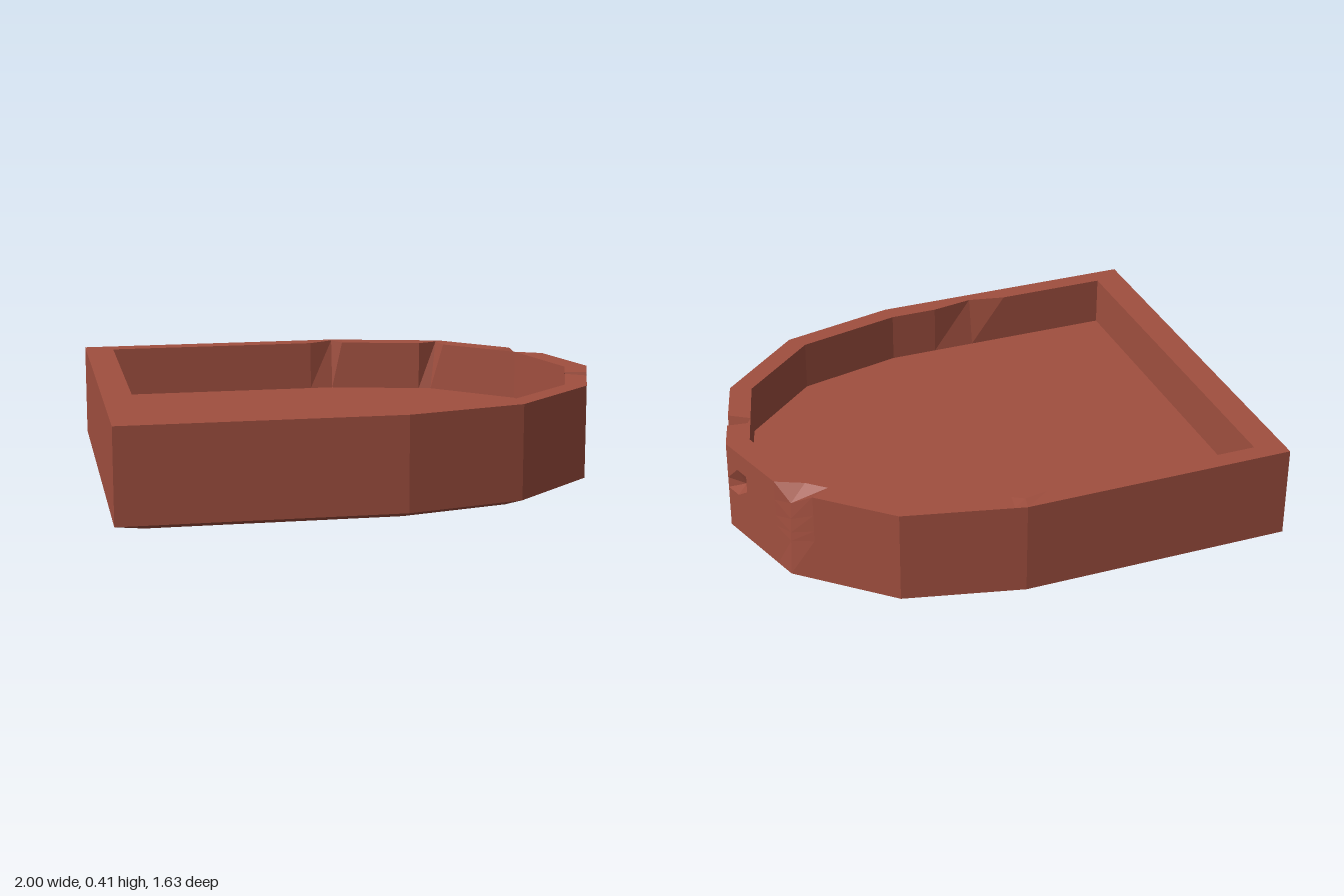
import * as THREE from 'three';

// Half outline, front to tip: outer x, outer z, inner x, inner z
const half = [
  [-1, 0.815, -0.885, 0.74],
  [0.08, 0.815, 0.07, 0.74],
  [0.54, 0.705, 0.49, 0.64],
  [0.875, 0.405, 0.795, 0.37],
];
const mirrored = half.map(([a, b, c, d]) => [a, -b, c, -d]).reverse();
const corners = [...half, [1, 0, 0.905, 0], ...mirrored];

const HEIGHT = 0.4, BEVEL = 0.03, FLOOR = 0.2;

// Extra stations along the outline (corner index + fraction), with displaced points for chips
const chips = {
  0.466: {}, 0.62: { rim: [-0.29, HEIGHT, 0.77] }, 0.8: {},      // front inner edge
  3.5: {}, 3.59: { top: [0.925, 0.28, 0.17] }, 3.68: {},         // notch in the curved rim
  4.17: { dent: [0.945, 0.25, -0.07] }, 4.32: {},                // dent beside the tip
  4.79: {}, 5: { top: [0.86, 0.34, -0.395] }, 5.23: {},          // broken corner
  5.85: {}, 6: { rim: [0.52, HEIGHT, -0.68] }, 6.12: {},         // back inner edge
  6.9: {}, 7: { rim: [0.07, 0.405, -0.765] }, 7.1: {},
};

const mix = (a, b, t) => a.map((v, i) => v + (b[i] - v) * t);

// Cross-section of the basin wall at one station, from the underside to the inner floor
function section(s) {
  const k = Math.floor(s);
  const [ox, oz, ix, iz] = mix(corners[k], corners[(k + 1) % corners.length], s - k);
  const chip = chips[s] || {};
  const low = [ox, BEVEL, oz];
  const top = chip.top || [ox, HEIGHT, oz];
  return [
    [ix, 0, iz],
    low,
    mix(low, top, 0.47),
    chip.dent || mix(low, top, 0.59),
    mix(low, top, 0.78),
    top,
    chip.rim || [ix, HEIGHT, iz],
    [ix, FLOOR, iz],
  ];
}

function basinGeometry() {
  const stations = [...new Set([...corners.keys(), ...Object.keys(chips).map(Number)])].sort((a, b) => a - b);
  const sections = stations.map(section);
  const pos = [];
  const tri = (a, b, c) => pos.push(...a, ...b, ...c);
  sections.forEach((p, i) => {
    const q = sections[(i + 1) % sections.length];
    for (let j = 0; j < p.length - 1; j++) {
      tri(p[j], q[j], q[j + 1]);
      tri(p[j], q[j + 1], p[j + 1]);
    }
    // Inner floor and underside
    const last = p.length - 1;
    tri([0, FLOOR, 0], p[last], q[last]);
    tri([0, 0, 0], q[0], p[0]);
  });
  const g = new THREE.BufferGeometry();
  g.setAttribute('position', new THREE.Float32BufferAttribute(pos, 3));
  g.computeVertexNormals(); // unshared corners keep the facets flat
  return g;
}

export function createModel() {
  const group = new THREE.Group();
  group.name = 'chippedBasin';
  const clay = new THREE.MeshStandardMaterial({ color: 0xa04f3f });
  clay.name = 'red clay';
  const basin = new THREE.Mesh(basinGeometry(), clay);
  basin.name = 'basin';
  group.add(basin);
  return group;
}
